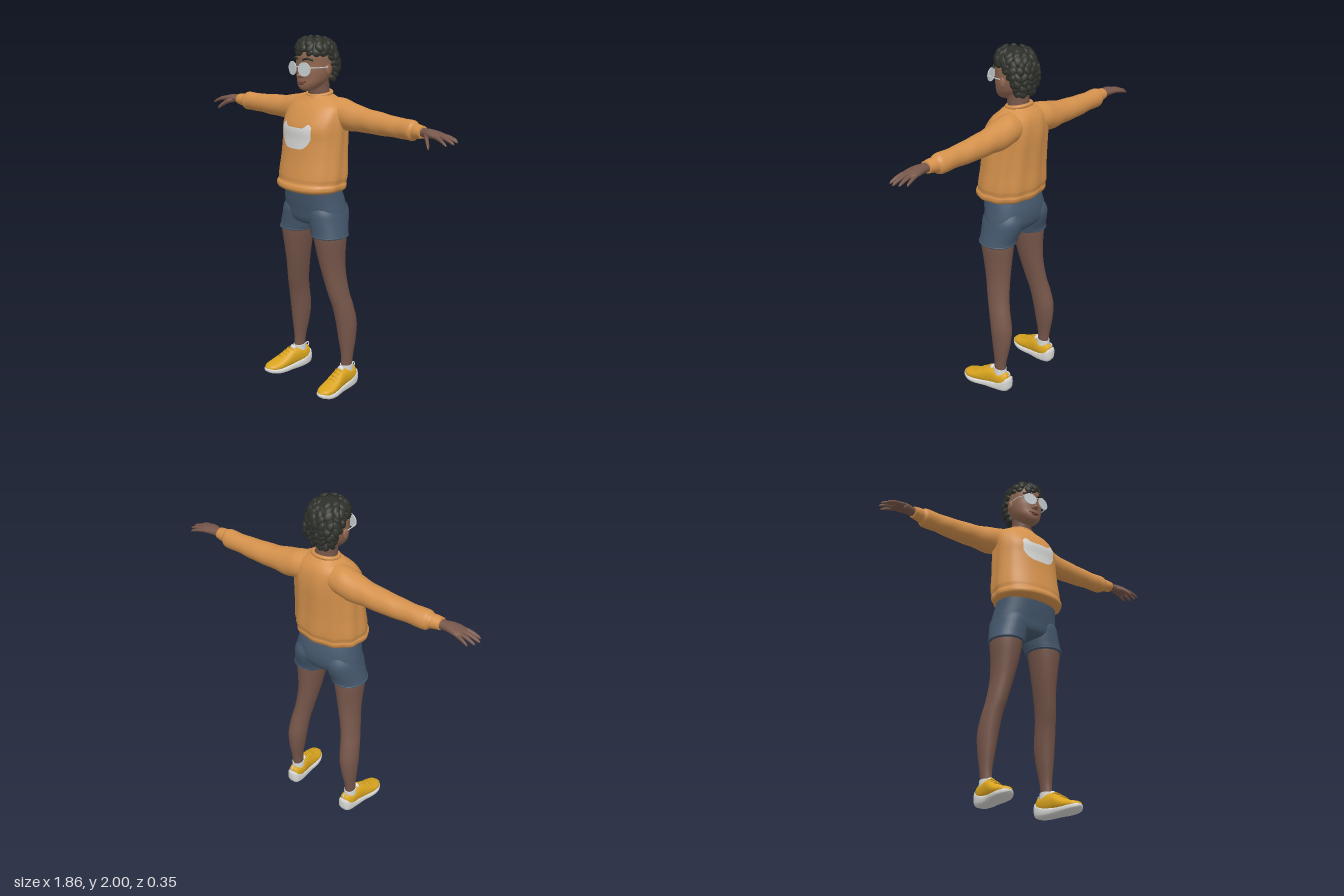
import * as THREE from 'three';
import { mergeGeometries } from 'three/addons/utils/BufferGeometryUtils.js';

const mat = (name, color) => Object.assign(new THREE.MeshStandardMaterial({ color }), { name });

// Smooth lookup in a table of rows [t, ...values]
function sample(rows, t) {
  let i = 0;
  while (i < rows.length - 2 && t > rows[i + 1][0]) i++;
  const a = rows[i], b = rows[i + 1], p = rows[i - 1] || a, q = rows[i + 2] || b;
  const h = b[0] - a[0], s = (t - a[0]) / h, s2 = s * s, s3 = s2 * s;
  return a.map((v, k) => {
    const m0 = (b[k] - p[k]) / (b[0] - p[0]) * h, m1 = (q[k] - v) / (q[0] - a[0]) * h;
    return (2 * s3 - 3 * s2 + 1) * v + (s3 - 2 * s2 + s) * m0 + (3 * s2 - 2 * s3) * b[k] + (s3 - s2) * m1;
  });
}

// Skin through rounded cross-sections [t, centre1, centre2, radius1, radius2] along an axis
function loft(axis, rows, { n = 2, seg = 32, steps = 4, ripple = () => 1 } = {}) {
  const pos = [], idx = [], ts = [];
  const put = (t, a, b) => pos.push(...(axis === 'y' ? [a, t, b] : axis === 'x' ? [t, a, b] : [a, b, t]));
  const pw = v => Math.sign(v) * Math.abs(v) ** (2 / n);
  for (let i = 0; i < rows.length - 1; i++)
    for (let k = 0; k < steps; k++) ts.push(rows[i][0] + (rows[i + 1][0] - rows[i][0]) * k / steps);
  ts.push(rows.at(-1)[0]);
  ts.forEach((t, i) => {
    const [, c1, c2, r1, r2] = sample(rows, t);
    for (let j = 0; j < seg; j++) {
      const th = j / seg * Math.PI * 2, w = ripple(th, t), c = pw(Math.cos(th)) * w, s = pw(Math.sin(th)) * w;
      put(t, c1 + r1 * (axis === 'y' ? c : s), c2 + r2 * (axis === 'y' ? s : c));
      if (i) {
        const a = (i - 1) * seg + j, d = (i - 1) * seg + (j + 1) % seg;
        idx.push(a, a + seg, d, d, a + seg, d + seg);
      }
    }
  });
  const last = (ts.length - 1) * seg, first = ts.length * seg;
  for (const t of [ts[0], ts.at(-1)]) { const r = sample(rows, t); put(t, r[1], r[2]); }
  for (let j = 0; j < seg; j++) {
    const k = (j + 1) % seg;
    idx.push(first, j, k, first + 1, last + k, last + j);
  }
  const g = new THREE.BufferGeometry();
  g.setAttribute('position', new THREE.Float32BufferAttribute(pos, 3));
  g.setIndex(idx);
  g.computeVertexNormals();
  return g;
}

// Rows [y, halfWidth, front z, back z, centre x] to loft rows
const body = rows => rows.map(([y, rx, f, b, cx = 0]) => [y, cx, (f + b) / 2, rx, (f - b) / 2]);
// Rows [z, centre x, bottom, top, halfWidth] to loft rows
const footRows = rows => rows.map(([z, cx, y0, y1, rx]) => [z, cx, (y0 + y1) / 2, rx, (y1 - y0) / 2]);
const ball = (x, y, z, rx, ry, rz) => new THREE.SphereGeometry(1, 16, 12).scale(rx, ry, rz).translate(x, y, z);
const tube = (pts, r) => new THREE.TubeGeometry(
  new THREE.CatmullRomCurve3(pts.map(p => new THREE.Vector3(...p))), 16, r, 8);

function mirrored(g) {
  const m = g.clone().scale(-1, 1, 1), ix = m.index.array;
  for (let i = 0; i < ix.length; i += 3) [ix[i], ix[i + 1]] = [ix[i + 1], ix[i]];
  return m;
}

export function createModel() {
  const root = new THREE.Group();
  root.name = 'standingFigure';
  const knit = mat('orange knit', 0xd4914c), skin = mat('brown skin', 0x76564a), faceSkin = mat('face skin', 0x8f6650),
    hairMat = mat('dark hair', 0x2e302a), denim = mat('blue denim', 0x44576c), yellow = mat('yellow fabric', 0xd9a41e),
    white = mat('off white', 0xd6d6d4), lensMat = mat('pale lens', 0xc9cfd2), lipMat = mat('lip', 0x70443a);
  const add = (name, g, m) => {
    const mesh = new THREE.Mesh(g, m);
    mesh.name = name;
    root.add(mesh);
  };
  const pair = (name, g, m) => { add(name + 'Left', g, m); add(name + 'Right', mirrored(g), m); };

  // Sweater body with drape folds fading out at the front
  const torso = body([[1.165, .165, .14, -.125], [1.18, .2, .17, -.15], [1.205, .208, .172, -.162], [1.22, .203, .16, -.16],
    [1.25, .207, .157, -.166], [1.35, .2, .14, -.166], [1.45, .196, .13, -.17], [1.52, .195, .128, -.174], [1.58, .193, .1, -.172],
    [1.63, .175, .065, -.162], [1.66, .135, .035, -.145], [1.68, .09, .02, -.125], [1.692, .07, .008, -.11]]);
  const N = 2.2;
  add('sweaterBody', loft('y', torso, { n: N, seg: 72, steps: 5, ripple: (th, y) => {
    const calm = 1 - Math.max(0, Math.sin(th)) ** .5, fade = THREE.MathUtils.smoothstep(1.68 - y, 0, .12);
    return 1 + .022 * calm * fade * Math.sin(11 * th + 5 * y);
  } }), knit);
  const collar = new THREE.TorusGeometry(.071, .011, 10, 40).rotateX(Math.PI / 2 + .14).scale(1, 1, .88).translate(0, 1.69, -.05);
  add('collar', collar, knit);

  // Sleeves, crumpled toward the cuffs
  pair('sleeve', loft('x', [[.05, 1.6, -.075, .075, .07], [.14, 1.595, -.083, .079, .08], [.2, 1.583, -.085, .079, .075],
    [.3, 1.575, -.088, .066, .065], [.42, 1.57, -.09, .06, .06], [.54, 1.568, -.088, .053, .052], [.62, 1.568, -.087, .053, .05],
    [.655, 1.566, -.084, .052, .048], [.67, 1.568, -.081, .04, .039], [.69, 1.569, -.078, .037, .038], [.725, 1.57, -.076, .031, .035]],
  { seg: 36, steps: 6, ripple: (th, x) => 1 + (x < .66 ? (.014 + .05 * Math.max(0, x - .45)) * Math.sin(48 * x + 3 * Math.sin(th + 1)) : 0) }), knit);

  // Chest print hugging the front of the sweater
  const print = new THREE.PlaneGeometry(.216, 1, 54, 14), pp = print.attributes.position;
  for (let i = 0; i < pp.count; i++) {
    const x = pp.getX(i), ax = Math.abs(x), v = pp.getY(i) + .5;
    const top = 1.523 + .022 * Math.exp(-(((ax - .088) / .019) ** 2)), low = 1.407 + .065 * (ax / .11) ** 4;
    const y = low + (top - low) * v, [, , cz, rx, rz] = sample(torso, y);
    pp.setXYZ(i, x, y, cz + rz * (1 - (ax / rx) ** N) ** (1 / N) + .006);
  }
  print.computeVertexNormals();
  add('chestPrint', print, white);

  // Hands with spread fingers and thumb
  const finger = (x0, y0, z0, x1, y1, z1, r) => loft('x', [0, .1, .5, .9, 1].map((u, i) => {
    const k = r * [.7, 1, .95, .7, .25][i], drop = u * u;
    return [x0 + (x1 - x0) * u, y0 + (y1 - y0) * drop, z0 + (z1 - z0) * u, k, k];
  }), { seg: 10, steps: 2 });
  const hand = [
    loft('x', [[.69, 1.57, -.077, .024, .029], [.735, 1.57, -.076, .023, .028], [.77, 1.571, -.073, .023, .037],
      [.81, 1.569, -.073, .019, .045], [.835, 1.566, -.075, .015, .044], [.85, 1.563, -.076, .008, .034]], { seg: 20 }),
    finger(.82, 1.565, -.108, .9, 1.545, -.127, .0095),
    finger(.825, 1.567, -.088, .925, 1.545, -.098, .0105),
    finger(.825, 1.568, -.065, .932, 1.541, -.062, .011),
    finger(.82, 1.566, -.042, .915, 1.535, -.025, .0105),
    finger(.755, 1.562, -.055, .832, 1.512, .008, .014)];
  pair('hand', mergeGeometries(hand), skin);

  // Shorts
  add('shortsHips', loft('y', body([[.965, .03, .02, -.05], [.975, .13, .065, -.09], [1, .195, .092, -.13], [1.05, .2, .102, -.15],
    [1.12, .187, .115, -.145], [1.19, .175, .122, -.12], [1.22, .165, .11, -.11]]), { n: 2.3, seg: 40 }), denim);
  pair('shortsLeg', loft('y', body([[.915, .094, .09, -.11, .132], [.918, .098, .095, -.114, .131], [.95, .1, .095, -.12, .122],
    [1, .1, .097, -.138, .11], [1.06, .096, .095, -.148, .1], [1.12, .06, .06, -.12, .1]]), { n: 2.1 }), denim);
  pair('shortsHem', new THREE.TorusGeometry(.097, .005, 8, 40).rotateX(Math.PI / 2).scale(1, 1, 1.07).translate(.131, .922, -.009), denim);

  // Legs
  pair('leg', loft('y', body([[.1, .027, -.045, -.113, .2], [.14, .028, -.045, -.116, .2], [.2, .031, -.045, -.124, .2],
    [.3, .044, -.032, -.143, .196], [.4, .053, -.018, -.15, .191], [.5, .053, .002, -.13, .182], [.58, .053, .025, -.112, .168],
    [.7, .06, .05, -.1, .148], [.8, .072, .07, -.1, .138], [.92, .089, .088, -.105, .131], [.98, .088, .085, -.1, .122]]), { seg: 28 }), skin);

  // Shoes: sole, upper, collar, sock, laces and heel loop
  pair('shoeSole', loft('z', footRows([[-.156, .197, .035, .085, .014], [-.145, .197, .014, .1, .034], [-.12, .198, .004, .085, .042],
    [-.07, .201, 0, .06, .045], [0, .21, 0, .046, .047], [.06, .219, 0, .04, .056], [.11, .225, .004, .04, .054],
    [.145, .227, .013, .043, .037], [.158, .228, .02, .042, .022], [.166, .228, .028, .038, .007]]), { n: 3.2, seg: 28 }), white);
  pair('shoeUpper', loft('z', footRows([[-.143, .197, .05, .11, .018], [-.13, .198, .03, .123, .034], [-.09, .2, .03, .124, .042],
    [-.05, .203, .025, .134, .043], [-.01, .209, .02, .128, .044], [.03, .215, .02, .104, .049], [.08, .222, .02, .078, .052],
    [.12, .226, .02, .066, .046], [.145, .227, .025, .058, .032], [.16, .228, .03, .046, .01]]), { n: 2.3, seg: 28 }), yellow);
  pair('sock', new THREE.CylinderGeometry(.034, .036, .05, 24).scale(1, 1, 1.2).translate(.2, .118, -.08), white);
  pair('shoeTongue', ball(.205, .128, -.03, .022, .018, .014), white);
  pair('shoeHeelLoop', new THREE.TorusGeometry(.012, .004, 8, 16).rotateY(Math.PI / 2).translate(.197, .122, -.138), white);
  const laces = [0, 1, 2, 3].map(i => {
    const z = -.012 + i * .021, x = .209 + i * .004, y = .133 - i * .0125;
    return tube([[x - .028, y - .012, z], [x, y, z + .004], [x + .028, y - .012, z]], .004);
  });
  pair('laces', mergeGeometries(laces), yellow);

  // Neck and head
  add('neck', loft('y', body([[1.62, .07, .02, -.12], [1.68, .06, .012, -.108], [1.73, .057, .02, -.105], [1.8, .06, .03, -.1]])), skin);
  add('head', loft('y', body([[1.712, .022, .06, .015], [1.722, .043, .078, -.02], [1.75, .07, .085, -.06], [1.78, .086, .083, -.09],
    [1.82, .096, .084, -.11], [1.86, .1, .082, -.125], [1.9, .1, .085, -.13], [1.94, .09, .07, -.115], [1.975, .05, .02, -.07]]),
  { n: 2.15, seg: 40 }), faceSkin);
  add('nose', mergeGeometries([ball(0, 1.797, .093, .015, .013, .02), ball(0, 1.818, .086, .01, .032, .014),
    ball(.013, 1.793, .087, .009, .008, .011), ball(-.013, 1.793, .087, .009, .008, .011)]), faceSkin);
  add('lips', mergeGeometries([tube([[-.034, 1.767, .076], [-.015, 1.76, .087], [.015, 1.76, .087], [.034, 1.767, .076]], .0045),
    ball(0, 1.752, .085, .02, .006, .007)]), lipMat);
  pair('ear', ball(.102, 1.825, -.02, .01, .03, .019), faceSkin);
  pair('eyebrow', tube([[.016, 1.88, .087], [.045, 1.888, .083], [.076, 1.88, .066]], .0055), hairMat);

  // Glasses
  const toFace = g => g.scale(1, .92, 1).rotateY(.22).translate(.046, 1.833, .103);
  pair('lens', toFace(new THREE.CylinderGeometry(.037, .037, .005, 32).rotateX(Math.PI / 2)), lensMat);
  pair('lensRim', toFace(new THREE.TorusGeometry(.038, .003, 8, 32)), lensMat);
  pair('templeArm', tube([[.083, 1.843, .094], [.103, 1.843, .06], [.106, 1.842, -.02]], .003), lensMat);
  add('bridge', tube([[-.012, 1.843, .111], [0, 1.847, .114], [.012, 1.843, .111]], .003), lensMat);

  // Hair cap covered with overlapping curls
  const hairRows = body([[1.75, .05, -.06, -.105], [1.8, .08, -.05, -.127], [1.85, .099, -.035, -.138], [1.885, .103, .02, -.142],
    [1.915, .103, .078, -.138], [1.955, .092, .075, -.12], [1.98, .06, .045, -.08], [1.988, .02, .005, -.04]]);
  add('hairCap', loft('y', hairRows, { seg: 36 }), hairMat);
  let seed = 7;
  const rnd = () => (seed = seed * 16807 % 2147483647) / 2147483647;
  const curls = [], o = new THREE.Object3D();
  [1.775, 1.805, 1.835, 1.865, 1.895, 1.92, 1.945, 1.965, 1.98].forEach((y, r) => {
    const count = [7, 10, 12, 14, 15, 15, 14, 10, 6][r];
    for (let i = 0; i < count; i++) {
      const th = (i + r % 2 / 2 + rnd() * .4) / count * Math.PI * 2, [, , cz, rx, rz] = sample(hairRows, y);
      const lift = y > 1.93 ? (y - 1.93) * 20 : 0;
      if (y < 1.9 && Math.sin(th) > .3) continue;
      o.position.set(rx * .97 * Math.cos(th), y, cz + rz * .97 * Math.sin(th));
      o.lookAt(o.position.x + Math.cos(th), y + lift + .25, o.position.z + Math.sin(th));
      o.rotateZ((rnd() - .5) * 1.6);
      o.scale.set(.018 + rnd() * .008, .024 + rnd() * .008, .011 + rnd() * .005);
      o.updateMatrix();
      curls.push(new THREE.SphereGeometry(1, 10, 8).applyMatrix4(o.matrix));
    }
  });
  add('curls', mergeGeometries(curls), hairMat);
  return root;
}
